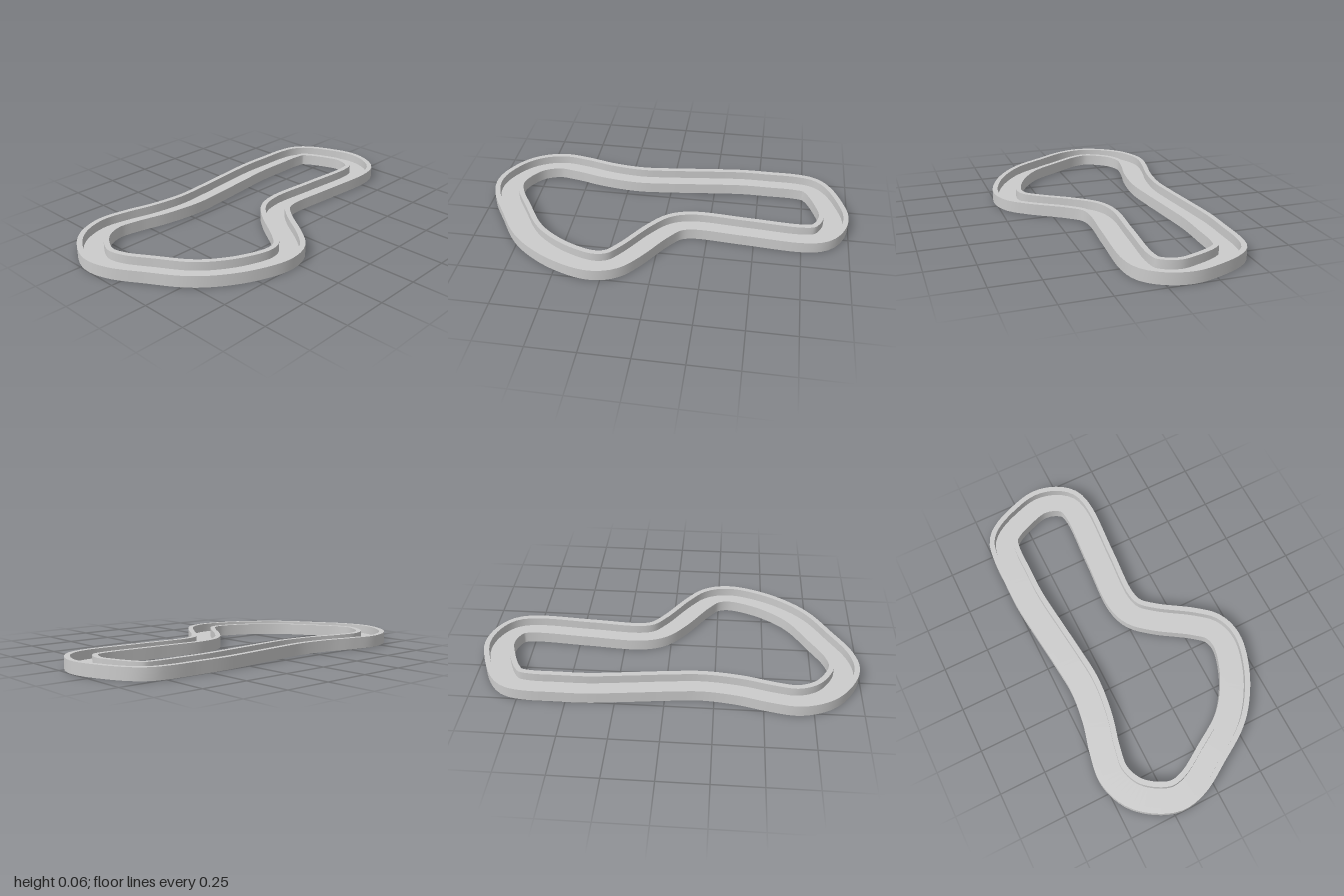
import * as THREE from 'three';

const HALF = 0.08, INNER = 0.052, HEIGHT = 0.062, FLOOR = 0.015, STEPS = 180;

// Centreline of the circuit as [x, z], seen from above
const route = [
  [-0.68, -0.44], [-0.8, -0.395], [-0.88, -0.305], [-0.92, -0.2], [-0.9, -0.095],
  [-0.81, 0.06], [-0.71, 0.215], [-0.62, 0.3], [-0.475, 0.385], [-0.31, 0.43],
  [-0.21, 0.405], [-0.135, 0.325], [-0.01, 0.14], [0.07, 0.055], [0.165, 0.025],
  [0.45, 0.038], [0.765, 0.053], [0.85, 0.03], [0.902, -0.04], [0.92, -0.13],
  [0.895, -0.23], [0.838, -0.355], [0.79, -0.405], [0.71, -0.423], [0.56, -0.425],
  [0.4, -0.424], [0.17, -0.4], [-0.02, -0.378], [-0.19, -0.365], [-0.38, -0.385],
  [-0.55, -0.425],
];
const curve = new THREE.CatmullRomCurve3(route.map(([x, z]) => new THREE.Vector3(x, 0, z)), true);
const frames = Array.from({ length: STEPS }, (_, i) => ({
  p: curve.getPointAt(i / STEPS),
  t: curve.getTangentAt(i / STEPS),
}));

// Sweeps each edge of a section [outward offset, height] round the circuit with crisp edges
function sweep(name, ...sections) {
  const positions = [], index = [];
  for (const section of sections) {
    for (let k = 0; k < section.length - 1; k++) {
      const base = positions.length / 3;
      frames.forEach(({ p, t }, i) => {
        for (const [o, y] of [section[k], section[k + 1]]) {
          positions.push(p.x - t.z * o, y, p.z + t.x * o);
        }
        const a = base + i * 2, c = base + ((i + 1) % STEPS) * 2;
        index.push(a, a + 1, c, a + 1, c + 1, c);
      });
    }
  }
  const geometry = new THREE.BufferGeometry();
  geometry.setAttribute('position', new THREE.Float32BufferAttribute(positions, 3));
  geometry.setIndex(index);
  geometry.computeVertexNormals();
  const mesh = new THREE.Mesh(
    geometry,
    new THREE.MeshStandardMaterial({ color: 0xcccccc, side: THREE.DoubleSide }),
  );
  mesh.name = name;
  return mesh;
}

export function createModel() {
  const group = new THREE.Group();
  group.name = 'raceTrack';
  group.add(
    // Road surface and flat underside
    sweep('trackFloor', [[-INNER, FLOOR], [INNER, FLOOR]], [[HALF, 0], [-HALF, 0]]),
    // Raised walls on both sides of the road
    sweep('outerWall', [[INNER, FLOOR], [INNER, HEIGHT], [HALF, HEIGHT], [HALF, 0]]),
    sweep('innerWall', [[-HALF, 0], [-HALF, HEIGHT], [-INNER, HEIGHT], [-INNER, FLOOR]]),
  );
  return group;
}
